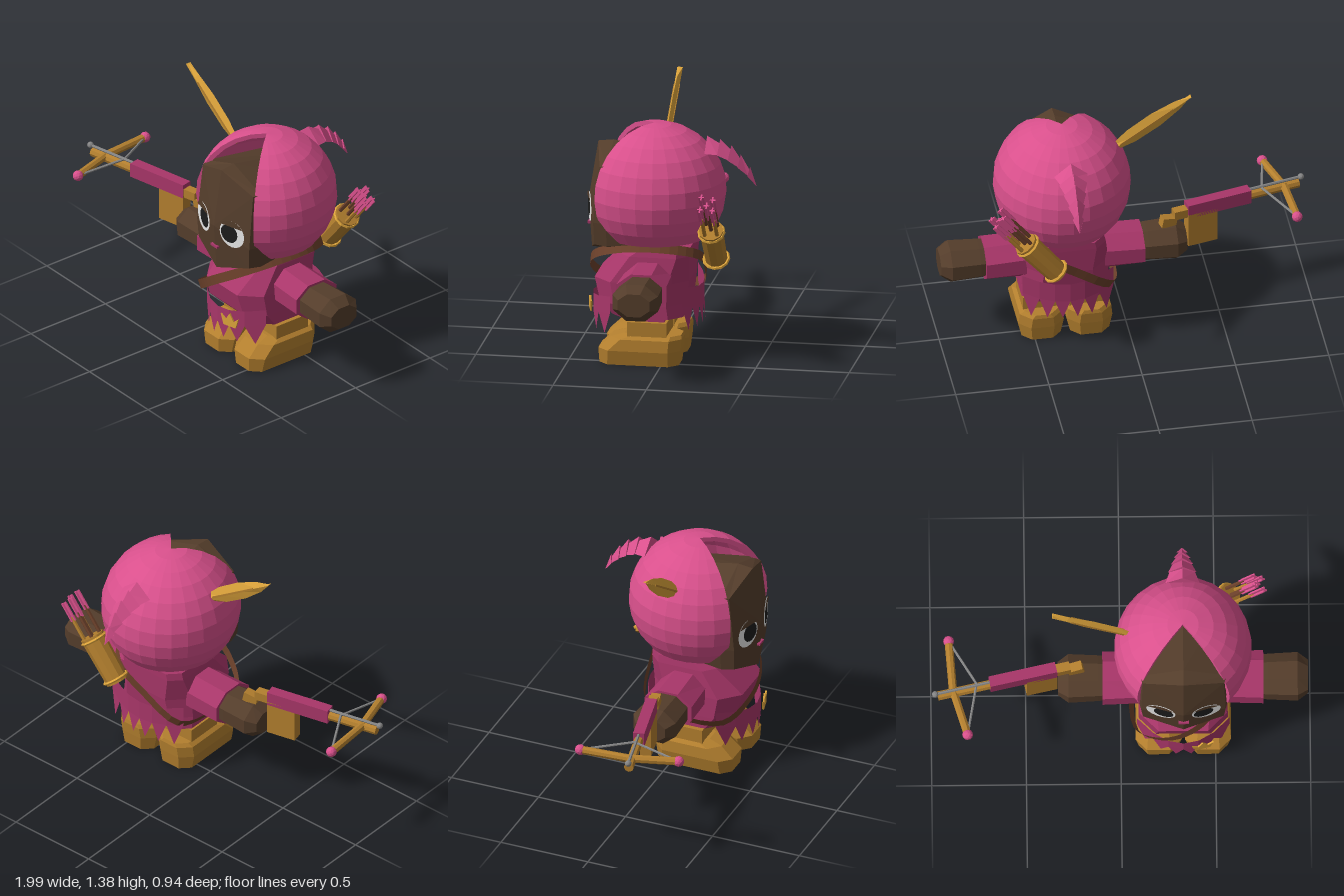
import * as THREE from 'three';

const mat = (name, color, double) => {
  const m = new THREE.MeshStandardMaterial({ color });
  m.name = name;
  if (double) m.side = THREE.DoubleSide;
  return m;
};

// Faceted copy of a geometry
const flat = (g) => {
  const f = g.index ? g.toNonIndexed() : g;
  f.computeVertexNormals();
  return f;
};

const triangles = (points) => {
  const g = new THREE.BufferGeometry();
  g.setAttribute('position', new THREE.Float32BufferAttribute(points.flat(), 3));
  g.computeVertexNormals();
  return g;
};

// Skin over rings of [x, y, z]; rings run counter-clockwise about the direction of travel
function loft(rings) {
  const t = [], n = rings[0].length;
  const middle = (r) => [0, 1, 2].map((k) => r.reduce((s, p) => s + p[k], 0) / n);
  const first = rings[0], last = rings[rings.length - 1];
  for (let j = 0; j < n; j++) {
    const k = (j + 1) % n;
    for (let i = 0; i + 1 < rings.length; i++) {
      const a = rings[i], b = rings[i + 1];
      t.push(a[j], a[k], b[k], a[j], b[k], b[j]);
    }
    t.push(middle(first), first[k], first[j], middle(last), last[j], last[k]);
  }
  return triangles(t);
}

// Horizontal rectangle with cut corners
const slab = (y, w, z0, z1, c) => [
  [-w + c, y, z1], [w - c, y, z1], [w, y, z1 - c], [w, y, z0 + c],
  [w - c, y, z0], [-w + c, y, z0], [-w, y, z0 + c], [-w, y, z1 - c],
];

export function createModel() {
  const pink = mat('hood pink', 0xd9508c, true);
  const magenta = mat('tunic magenta', 0xa83669, true);
  const skin = mat('dark brown', 0x543d2b);
  const ochre = mat('ochre', 0xb37f2e);
  const gold = mat('gold', 0xdda43b);
  const leather = mat('strap leather', 0x6b402a, true);
  const white = mat('eye white', 0xf0f0f0);
  const black = mat('pupil black', 0x1c1c1c);
  const metal = mat('grey metal', 0x858585);

  const root = new THREE.Group();
  root.name = 'hoodedArcher';
  const body = new THREE.Group();
  body.name = 'body';
  body.position.x = 0.33;
  root.add(body);

  const add = (parent, name, geo, material, x = 0, y = 0, z = 0) => {
    const m = new THREE.Mesh(flat(geo), material);
    m.name = name;
    m.position.set(x, y, z);
    parent.add(m);
    return m;
  };
  const box = (w, h, d) => new THREE.BoxGeometry(w, h, d);
  const UP = new THREE.Vector3(0, 1, 0);
  const rod = (parent, name, a, b, r, material, sides = 8) => {
    const p = new THREE.Vector3(...a), d = new THREE.Vector3(...b).sub(p);
    const m = add(parent, name, new THREE.CylinderGeometry(r, r, d.length(), sides), material);
    m.position.copy(p).addScaledVector(d, 0.5);
    m.quaternion.setFromUnitVectors(UP, d.normalize());
    return m;
  };

  // Head: outline swept from the back to a keeled face
  const outline = [[0, 0.57], [0.23, 0.645], [0.24, 0.77], [0.23, 1.085],
    [0, 1.17], [-0.23, 1.085], [-0.24, 0.77], [-0.23, 0.645]];
  const headRing = (sx, sy, zAt) => outline.map(([x, y]) => {
    const px = x * sx, py = 0.84 + (y - 0.84) * sy;
    return [px, py, zAt(px, py)];
  });
  add(body, 'head', loft([
    headRing(0.95, 0.75, () => -0.13),
    headRing(1, 1, () => 0.29),
    headRing(0.93, 0.97, (x, y) => 0.425 - 0.28 * Math.abs(x)
      - 0.2 * Math.max(0, y - 0.9) - 0.15 * Math.max(0, 0.7 - y)),
    outline.map(() => [0, 0.84, 0.425]),
  ]), skin);

  // Eyes: white, pupil and upper lid as stacked thin faces
  const lid = new THREE.Shape();
  lid.absarc(0, 0, 0.084, 0.58, Math.PI - 0.58, false);
  for (const s of [-1, 1]) {
    const eye = new THREE.Group();
    eye.name = s > 0 ? 'leftEye' : 'rightEye';
    eye.position.set(s * 0.12, 0.832, 0.398);
    eye.rotation.y = s * 0.273;
    add(eye, 'eyeWhite', new THREE.CircleGeometry(0.08, 20), white);
    add(eye, 'pupil', new THREE.CircleGeometry(0.054, 18), black, -s * 0.016, 0, 0.003);
    add(eye, 'eyelid', new THREE.ShapeGeometry(lid), skin, 0, 0, 0.006);
    body.add(eye);
  }
  add(body, 'mouth', box(0.055, 0.012, 0.016), magenta, 0, 0.715, 0.418);

  // Hood: open sphere with an inner shell and rims along the opening
  const hood = new THREE.Group();
  hood.name = 'hood';
  hood.position.set(0, 0.91, 0.07);
  hood.scale.set(0.365, 0.365, 0.38);
  const rad = THREE.MathUtils.degToRad;
  for (const r of [1, 0.93])
    add(hood, 'hoodShell', new THREE.SphereGeometry(r, 20, 10, rad(132), rad(276), 0, rad(132)), pink);
  for (const turn of [-48, -132])
    add(hood, 'hoodRim', new THREE.RingGeometry(0.93, 1, 10, 1, rad(-42), rad(132)), pink)
      .rotation.y = rad(turn);
  body.add(hood);

  // Segmented plume curving down behind the hood
  const upper = [[-0.21, 1.215], [-0.28, 1.2], [-0.34, 1.17], [-0.39, 1.12], [-0.44, 1.055], [-0.475, 0.95]];
  const lower = [[-0.21, 1.14], [-0.275, 1.13], [-0.33, 1.1], [-0.38, 1.06], [-0.43, 1.01], [-0.475, 0.95]];
  const plumeRing = (i, drop, w) => {
    const [uz, uy] = upper[i], [lz, ly] = lower[i];
    return [[w, ly, lz], [-w, ly, lz], [0, uy + (ly - uy) * drop, uz + (lz - uz) * drop]];
  };
  for (let i = 0; i < 5; i++)
    add(body, 'plumeSegment', loft([
      plumeRing(i, 0, 0.09 - 0.015 * i),
      plumeRing(i + 1, 0.35, 0.068 - 0.0168 * i),
    ]), pink);

  // Feather on the hood's right side
  const feather = new THREE.Group();
  feather.name = 'feather';
  feather.position.set(0.06, 1.09, 0.055);
  feather.rotation.z = 0.967;
  add(feather, 'featherVane', loft([[0, 0.02], [0.12, 0.045], [0.28, 0.048], [0.42, 0.03], [0.51, 0.002]]
    .map(([y, w]) => [[0, y, 0.015], [w, y, 0], [0, y, -0.015], [-w, y, 0]])), gold);
  add(feather, 'featherRib', box(0.01, 0.34, 0.034), ochre, 0, 0.22, 0);
  root.add(feather);

  // Tunic
  add(body, 'tunic', loft([
    slab(0.26, 0.235, -0.11, 0.27, 0.07), slab(0.33, 0.235, -0.12, 0.34, 0.09),
    slab(0.45, 0.23, -0.135, 0.37, 0.1), slab(0.59, 0.21, -0.14, 0.23, 0.06),
    slab(0.63, 0.2, -0.14, 0.17, 0.06),
  ]), magenta);

  // Zigzag skirt panels, front and back
  const skirt = (name, zAt, top, bottom, tip) => {
    const t = [], xs = [-0.245, -0.16, -0.08, 0, 0.08, 0.16, 0.245];
    const p = (x, y) => [x, y + 0.6 * x * x, zAt(x)];
    for (let i = 0; i < 6; i++) {
      const a = xs[i], b = xs[i + 1];
      t.push(p(a, bottom), p(b, bottom), p(b, top), p(a, bottom), p(b, top), p(a, top));
      t.push(p(a, bottom), [(a + b) / 2, tip, zAt((a + b) / 2) - 0.005], p(b, bottom));
    }
    add(body, name, triangles(t), magenta);
  };
  skirt('frontSkirt', (x) => 0.4 - 2.2 * x * x, 0.34, 0.25, 0.163);
  skirt('backSkirt', (x) => -0.19 + 1.2 * x * x, 0.41, 0.3, 0.2);

  // Small crown ornament
  const crown = new THREE.Shape([[-0.04, 0], [0.04, 0], [0.058, 0.06], [0.026, 0.035], [0, 0.078],
    [-0.026, 0.035], [-0.058, 0.06]].map(([x, y]) => new THREE.Vector2(x, y)));
  add(body, 'crownOrnament', new THREE.ExtrudeGeometry(crown, { depth: 0.009, bevelEnabled: false }),
    gold, 0.1, 0.26, 0.392).rotation.y = 0.25;

  // Hips, legs and boots
  add(body, 'hips', box(0.4, 0.1, 0.18), magenta, 0, 0.25, 0.075);
  for (const s of [-1, 1]) {
    add(body, 'bootShaft', box(0.2, 0.1, 0.21), ochre, s * 0.125, 0.185, 0.075);
    add(body, 'boot', loft([
      slab(0, 0.105, -0.09, 0.335, 0.05), slab(0.08, 0.122, -0.1, 0.34, 0.06),
      slab(0.142, 0.115, -0.105, 0.275, 0.06), slab(0.162, 0.09, -0.1, 0.2, 0.05),
    ]), ochre, s * 0.13);
  }

  // Arms: eight-sided sleeve and mitten
  const armRing = (x, ry, rz) => Array.from({ length: 8 }, (_, i) => {
    const a = (i + 0.5) * Math.PI / 4;
    return [x, 1.08 * ry * Math.cos(a), 1.08 * rz * Math.sin(a)];
  });
  for (const s of [-1, 1]) {
    const arm = new THREE.Group();
    arm.name = s > 0 ? 'leftArm' : 'rightArm';
    arm.position.set(0, 0.455, 0.07);
    if (s < 0) arm.rotation.y = Math.PI;
    add(arm, 'sleeve', loft([armRing(0.17, 0.11, 0.125), armRing(0.425, 0.102, 0.135)]), magenta);
    add(arm, 'hand', loft([armRing(0.4, 0.088, 0.11), armRing(0.45, 0.092, 0.115),
      armRing(0.605, 0.1, 0.122), armRing(0.66, 0.062, 0.085)]), skin);
    body.add(arm);
  }

  // Strap around chest and back
  const loop = new THREE.CatmullRomCurve3([[0.57, 0.65, 0.16], [0.46, 0.585, 0.35], [0.33, 0.505, 0.415],
    [0.2, 0.415, 0.4], [0.08, 0.33, 0.31], [0.06, 0.32, 0.06], [0.1, 0.35, -0.14], [0.3, 0.49, -0.195],
    [0.47, 0.6, -0.19], [0.57, 0.65, -0.05]].map((p) => new THREE.Vector3(...p)), true);
  const edge = loop.getPoints(40).map((p) =>
    [1, -1].map((s) => [p.x - 0.013 * s, p.y + 0.022 * s, p.z]));
  const strap = [];
  for (let i = 0; i < 40; i++) {
    const [a, b] = edge[i], [d, c] = edge[i + 1];
    strap.push(a, b, c, a, c, d);
  }
  add(root, 'strap', triangles(strap), leather);

  // Quiver with bands and arrows, leaning towards the left shoulder
  const quiver = new THREE.Group();
  quiver.name = 'quiver';
  quiver.position.set(0.41, 0.555, -0.275);
  quiver.rotation.z = -0.68;
  add(quiver, 'quiverTube', new THREE.CylinderGeometry(0.066, 0.06, 0.28, 10), ochre, 0, 0.14, 0);
  for (const y of [0.02, 0.26])
    add(quiver, 'quiverBand', new THREE.TorusGeometry(0.066, 0.009, 5, 12), gold, 0, y, 0)
      .rotation.x = Math.PI / 2;
  [[0, 0], [0.035, 0.03], [-0.035, 0.03], [0.03, -0.035], [-0.03, -0.03]].forEach(([x, z], i) => {
    const top = 0.48 + 0.012 * (i % 3);
    rod(quiver, 'arrowShaft', [x, 0.2, z], [x, top - 0.06, z], 0.011, i % 2 ? ochre : leather, 6);
    add(quiver, 'arrowFletching', box(0.04, 0.11, 0.008), pink, x, top - 0.03, z);
    add(quiver, 'arrowFletching', box(0.008, 0.11, 0.03), pink, x, top - 0.03, z);
  });
  root.add(quiver);

  // Crossbow held in the right hand, pointing to -x
  const bow = new THREE.Group();
  bow.name = 'crossbow';
  bow.position.set(-0.34, 0.62, 0.08);
  bow.rotation.y = 0.22;
  add(bow, 'stock', box(0.36, 0.08, 0.06), magenta, -0.18, 0, 0);
  rod(bow, 'barrel', [-0.34, -0.005, 0], [-0.64, -0.005, 0], 0.026, ochre);
  rod(bow, 'bolt', [-0.34, 0.03, 0], [-0.655, 0.03, 0], 0.008, metal, 6);
  add(bow, 'boltTip', new THREE.IcosahedronGeometry(0.018, 1), metal, -0.655, 0.03, 0);
  add(bow, 'magazine', box(0.165, 0.2, 0.06), ochre, -0.082, -0.12, 0);
  add(bow, 'rearBlock', box(0.08, 0.05, 0.05), ochre, 0.035, -0.01, 0);
  add(bow, 'grip', box(0.08, 0.055, 0.05), ochre, 0.105, -0.045, 0).rotation.z = 0.2;
  root.add(bow);
  const centre = [-0.885, 0.62, 0.19], nock = [-0.76, 0.645, 0.165];
  for (const end of [[-0.905, 0.62, -0.085], [-0.81, 0.62, 0.44]]) {
    rod(root, 'bowLimb', centre, end, 0.022, ochre);
    rod(root, 'bowString', end, nock, 0.007, metal, 6);
    add(root, 'limbBall', new THREE.IcosahedronGeometry(0.029, 1), pink, ...end);
  }
  return root;
}
